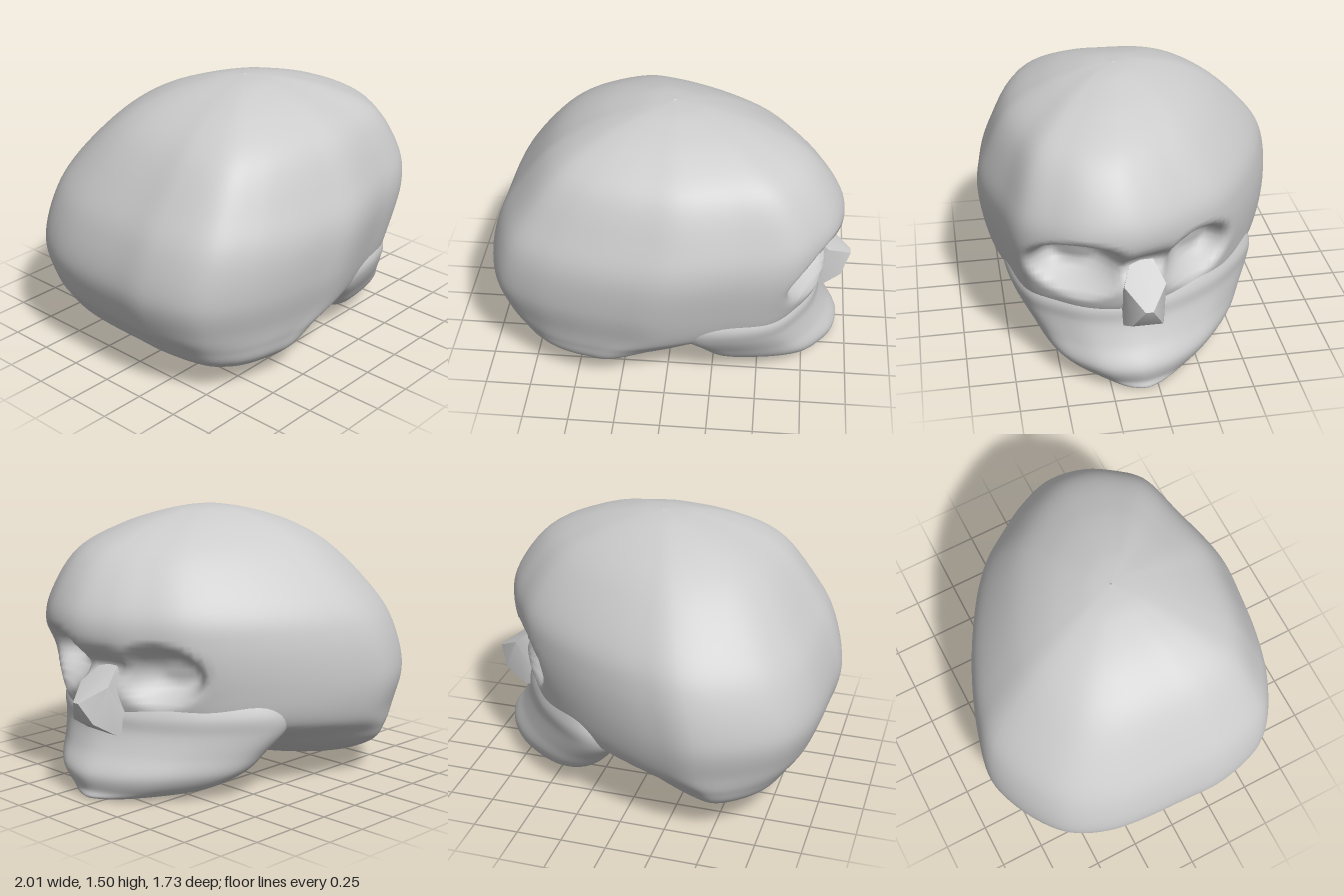
import * as THREE from 'three';
import { ConvexGeometry } from 'three/addons/geometries/ConvexGeometry.js';
import { toCreasedNormals } from 'three/addons/utils/BufferGeometryUtils.js';

const material = new THREE.MeshStandardMaterial({ color: 0xcccccc, roughness: 0.8 });

// Plan outline of the braincase, x then z, in -1..1 of its own extents
const cranium = [
  [-1, 0.1], [-0.95, -0.48], [-0.8, -0.77], [-0.4, -1], [-0.13, -0.96], [0.3, -0.77],
  [0.66, -0.5], [0.83, -0.25], [0.93, -0.06], [1, 0.17], [0.97, 0.43], [0.87, 0.63],
  [0.72, 0.81], [0.4, 0.91], [0.04, 1], [-0.2, 0.98], [-0.48, 0.93], [-0.7, 0.85],
  [-0.9, 0.7], [-1, 0.37],
];
// Plan outline of the cheeks and jaw, following the front of the braincase
const jaw = [
  [-1, 0.1], [-0.97, -0.75], [-0.8, -0.97], [-0.43, -1], [0.32, -0.68], [0.68, -0.4],
  [0.88, -0.16], [1, 0.12], [0.93, 0.43], [0.73, 0.66], [0.41, 0.87], [-0.32, 1],
  [-0.8, 0.98], [-0.97, 0.8],
];

// Levels from bottom to top: y, xMin, xMax, zMin, zMax
const craniumLevels = [
  [0.05, -0.46, -0.45, 0.0, 0.01],
  [0.06, -0.56, -0.32, -0.22, 0.3],
  [0.1, -0.66, -0.08, -0.48, 0.56],
  [0.19, -0.8, 0.14, -0.69, 0.7],
  [0.29, -0.88, 0.4, -0.77, 0.75],
  [0.4, -0.95, 0.76, -0.82, 0.79],
  [0.6, -1.0, 0.86, -0.86, 0.84],
  [0.84, -0.945, 0.925, -0.83, 0.86],
  [1.03, -0.84, 0.91, -0.74, 0.81],
  [1.27, -0.65, 0.74, -0.52, 0.69],
  [1.41, -0.43, 0.48, -0.31, 0.49],
  [1.49, -0.18, 0.2, -0.08, 0.27],
  [1.51, 0.0, 0.01, 0.09, 0.1],
];
const jawLevels = [
  [0.01, 0.65, 0.66, 0.04, 0.05],
  [0.012, 0.46, 0.91, -0.17, 0.25],
  [0.06, 0.35, 0.925, -0.36, 0.43],
  [0.15, 0.21, 0.94, -0.5, 0.57],
  [0.26, 0.12, 0.875, -0.57, 0.65],
  [0.37, 0.03, 0.83, -0.63, 0.72],
  [0.46, 0.03, 0.82, -0.64, 0.74],
  [0.55, 0.06, 0.77, -0.6, 0.7],
];

// Smooth closed skin through levels that share one plan outline
function loft(outline, levels, around, rows, sculpt) {
  const plan = new THREE.CatmullRomCurve3(
    outline.map(([x, z]) => new THREE.Vector3(x, 0, z)), true);
  const columns = [0, 1, 2, 3, 4].map((k) =>
    new THREE.SplineCurve(levels.map((l) => new THREE.Vector2(0, l[k]))));
  const positions = [], index = [], v = new THREE.Vector3();
  for (let i = 0; i <= rows; i++) {
    const [y, x0, x1, z0, z1] = columns.map((c) => c.getPoint(i / rows).y);
    for (let j = 0; j < around; j++) {
      const p = plan.getPoint(j / around);
      v.set((x0 + x1) / 2 + p.x * (x1 - x0) / 2, y, (z0 + z1) / 2 + p.z * (z1 - z0) / 2);
      sculpt(v);
      positions.push(v.x, v.y, v.z);
      if (i < rows) {
        const a = i * around + j, b = i * around + (j + 1) % around;
        index.push(a, a + around, b, b, a + around, b + around);
      }
    }
  }
  const geometry = new THREE.BufferGeometry();
  geometry.setAttribute('position', new THREE.Float32BufferAttribute(positions, 3));
  geometry.setIndex(index);
  geometry.computeVertexNormals();
  return geometry;
}

// Eye sockets: centre y, z, half height, half width, depth
const sockets = [
  [0.73, 0.4, 0.18, 0.28, 0.24],
  [0.69, -0.23, 0.17, 0.22, 0.19],
];

// Presses the sockets and the nasal bridge into the front of the face
function carveFace(v) {
  if (v.x < 0.3) return;
  const { y, z } = v;
  let push = 0.13 * Math.exp(-(((y - 0.72) / 0.08) ** 2) - ((z - 0.08) / 0.2) ** 2);
  for (const [cy, cz, ry, rz, depth] of sockets) {
    const d = Math.hypot((y - cy) / ry, (z - cz) / rz);
    push = Math.max(push, depth * (1 - THREE.MathUtils.smoothstep(d, 0.35, 1.1)));
  }
  v.x -= push;
}

export function createModel() {
  const group = new THREE.Group();
  const add = (name, geometry) => {
    const mesh = new THREE.Mesh(geometry, material);
    mesh.name = name;
    group.add(mesh);
  };

  add('cranium', loft(cranium, craniumLevels, 160, 84, carveFace));
  add('jaw', loft(jaw, jawLevels, 96, 42, carveFace));

  // Blunt pyramid of the nose: x, y, half width
  const nose = [[0.76, 0.72, 0.06], [0.87, 0.63, 0.11], [1.0, 0.55, 0.02], [0.95, 0.44, 0.08],
    [0.82, 0.36, 0.11], [0.7, 0.38, 0.13]];
  const points = nose.flatMap(([x, y, w]) =>
    [-w, w].map((s) => new THREE.Vector3(x, y, 0.07 + s)));
  add('nose', toCreasedNormals(new ConvexGeometry(points), 0.9));

  return group;
}
